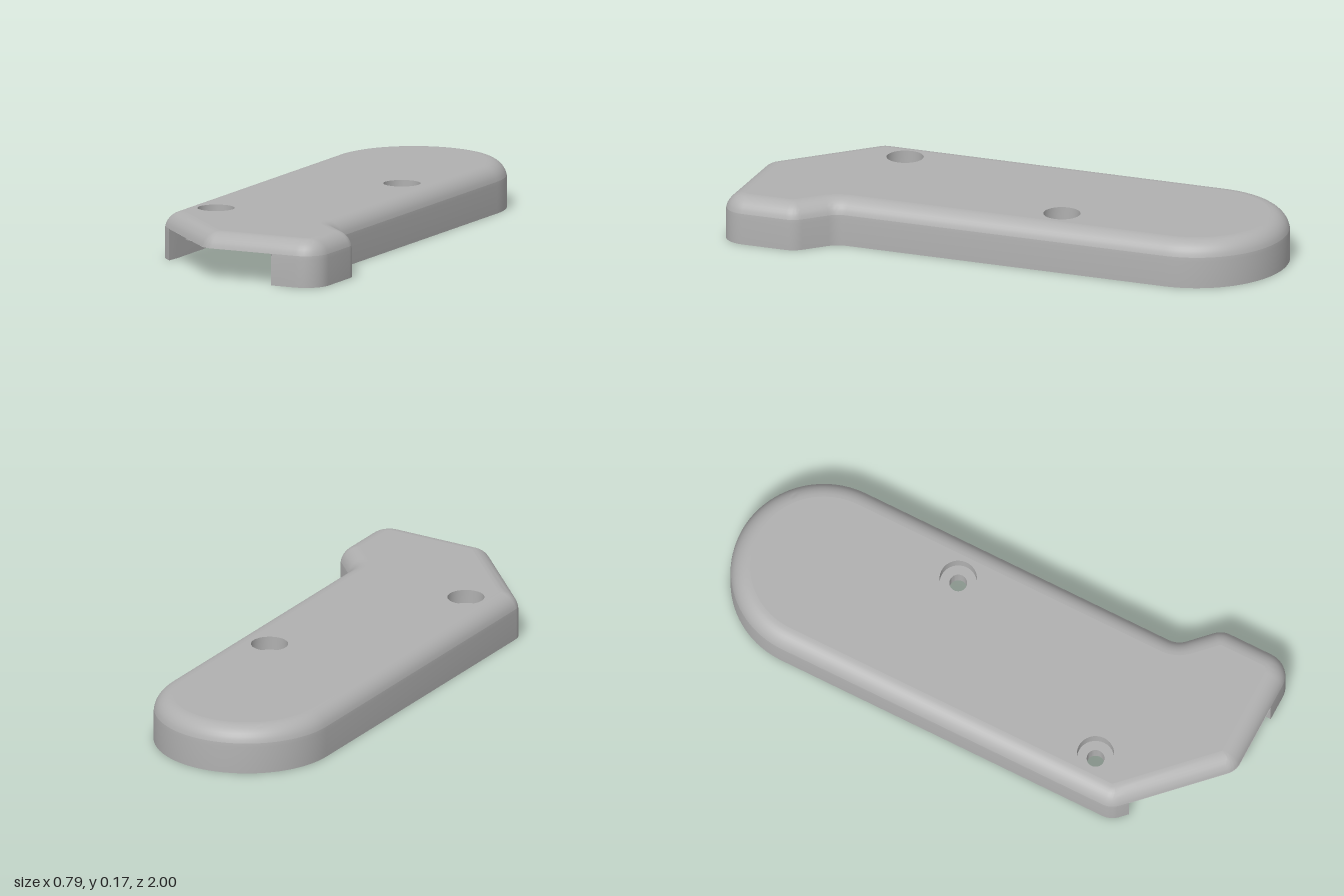
import * as THREE from 'three';
import { toCreasedNormals } from 'three/addons/utils/BufferGeometryUtils.js';

const HEIGHT = 0.17, FILLET = 0.07, CEILING = 0.115, BOSS_BOTTOM = 0.06, SEAT = 0.12;
const ROUND = 8; // segments per rounded corner

// Plan corners [x, z, radius], running from one end of the front opening round the back
const OUTER = [
  [-0.345, 0.715, 0], [-0.395, 0.665, 0.08], [-0.395, -1, 0.335], [0.275, -1, 0.335],
  [0.275, 0.59, 0.08], [0.395, 0.71, 0.08], [0.395, 1, 0.09], [0.21, 1, 0], [-0.06, 1, 0.075],
];
const INNER = [
  [-0.345, 0.715, 0], [-0.34, 0.66, 0], [-0.34, -0.945, 0.28], [0.22, -0.945, 0.28],
  [0.22, 0.6, 0], [0.21, 0.66, 0], [0.21, 1, 0], [-0.06, 1, 0.075],
];
const SCREWS = [[0.12, -0.215], [-0.25, 0.53]];

// Rounded polygon, optionally inset; always gives the same number of points
function outline(corners, inset = 0) {
  const count = corners.length, pts = [];
  corners.forEach(([x, z, r], i) => {
    const p = new THREE.Vector2(x, z);
    const prev = corners[(i + count - 1) % count], next = corners[(i + 1) % count];
    const d1 = p.clone().sub(new THREE.Vector2(prev[0], prev[1])).normalize();
    const d2 = new THREE.Vector2(next[0], next[1]).sub(p).normalize();
    const n1 = new THREE.Vector2(-d1.y, d1.x), n2 = new THREE.Vector2(-d2.y, d2.x);
    const q = p.addScaledVector(n1.clone().add(n2), inset / (1 + n1.dot(n2)));
    if (r === 0) { pts.push(q); return; }
    const cross = d1.x * d2.y - d1.y * d2.x;
    const sign = Math.sign(cross), turn = Math.atan2(cross, d1.dot(d2));
    const radius = r - sign * inset;
    const centre = q.clone()
      .addScaledVector(d1, -radius * Math.tan(Math.abs(turn) / 2))
      .addScaledVector(n1, sign * radius);
    const n = r > 0.2 ? 3 * ROUND : ROUND;
    for (let k = 0; k <= n; k++) {
      const spoke = n1.clone().multiplyScalar(-sign * radius);
      pts.push(spoke.rotateAround(new THREE.Vector2(), turn * k / n).add(centre));
    }
  });
  return pts;
}

// Surface through rows of plan points, each row { pts, y }
function loft(rows, closed) {
  const pos = [], index = [], n = rows[0].pts.length;
  for (const { pts, y } of rows) for (const p of pts) pos.push(p.x, y, p.y);
  for (let r = 0; r < rows.length - 1; r++) {
    for (let i = 0; i < (closed ? n : n - 1); i++) {
      const j = (i + 1) % n;
      const a = r * n + i, b = r * n + j, c = a + n, d = b + n;
      index.push(a, c, b, b, c, d);
    }
  }
  const g = new THREE.BufferGeometry();
  g.setAttribute('position', new THREE.Float32BufferAttribute(pos, 3));
  g.setIndex(index);
  return toCreasedNormals(g, 0.6);
}

const circle = (x, z, r) => Array.from({ length: 32 }, (_, k) => {
  const a = k / 32 * Math.PI * 2;
  return new THREE.Vector2(x + r * Math.cos(a), z + r * Math.sin(a));
});

// Horizontal face with holes: side 1 faces down, -1 faces up
function flat(pts, y, side, holes = []) {
  const turn = list => list.map(p => new THREE.Vector2(p.x, p.y * side));
  const shape = new THREE.Shape(turn(pts));
  for (const h of holes) shape.holes.push(new THREE.Path(turn(h)));
  return new THREE.ShapeGeometry(shape).rotateX(side * Math.PI / 2).translate(0, y, 0);
}

const roundedRect = (x0, x1, z0, z1, r) =>
  outline([[x0, z0, r], [x1, z0, r], [x1, z1, r], [x0, z1, r]]);

export function createModel() {
  const group = new THREE.Group();
  const grey = new THREE.MeshStandardMaterial({ color: 0xb0b0b0, side: THREE.DoubleSide });
  grey.name = 'grey plastic';
  const add = (name, geometry) => {
    const mesh = new THREE.Mesh(geometry, grey);
    mesh.name = name;
    group.add(mesh);
  };

  // Height rows of the rounded top edge
  const row = angle => ({
    pts: outline(OUTER, FILLET * (1 - Math.cos(angle))),
    y: HEIGHT - FILLET + FILLET * Math.sin(angle),
  });
  const cut = Math.asin((CEILING - HEIGHT + FILLET) / FILLET);
  const edge = Array.from({ length: 9 }, (_, k) => row(cut + (Math.PI / 2 - cut) * k / 8));
  add('roundedTopEdge', loft(edge, true));
  add('topFace', flat(edge[8].pts, HEIGHT, -1, SCREWS.map(([x, z]) => circle(x, z, 0.067))));

  // Outer wall, left open along the front
  const open = pts => pts.slice(0, -(ROUND + 1));
  const base = open(outline(OUTER));
  add('outerWall', loft([
    { pts: base, y: 0 }, { pts: base, y: HEIGHT - FILLET }, { pts: open(edge[0].pts), y: CEILING },
  ], false));

  // Inner wall, ceiling and bottom rim with the slot in the foot
  const inner = outline(INNER);
  const innerWall = open(inner).reverse();
  add('innerWall', loft([{ pts: innerWall, y: 0 }, { pts: innerWall, y: CEILING }], false));
  add('ceiling', flat(inner, CEILING, 1, SCREWS.map(([x, z]) => circle(x, z, 0.032))));
  const slot = roundedRect(0.25, 0.31, 0.72, 0.95, 0).reverse();
  add('bottomRim', flat([...base, ...innerWall.slice(1, -1)], 0, 1, [slot]));
  add('footSlotWalls', loft([{ pts: slot, y: 0 }, { pts: slot, y: 0.1 }], true));
  add('footSlotEnd', flat(slot, 0.1, 1));

  // Screw bosses under the ceiling, with countersunk seats above
  const bosses = [
    roundedRect(0.03, 0.225, -0.31, -0.12, 0.05),
    roundedRect(-0.345, -0.155, 0.435, 0.625, 0.05),
  ];
  SCREWS.forEach(([x, z], i) => {
    const hole = circle(x, z, 0.032).reverse(), seat = circle(x, z, 0.067).reverse();
    add('bossSide', loft([{ pts: bosses[i], y: BOSS_BOTTOM }, { pts: bosses[i], y: CEILING }], true));
    add('bossBottom', flat(bosses[i], BOSS_BOTTOM, 1, [hole]));
    add('screwHole', loft([{ pts: hole, y: BOSS_BOTTOM }, { pts: hole, y: SEAT }], true));
    add('screwSeat', flat(seat, SEAT, -1, [hole]));
    add('screwSeatWall', loft([{ pts: seat, y: SEAT }, { pts: seat, y: HEIGHT }], true));
  });

  // Small locating tab on the side wall
  const tab = roundedRect(-0.345, -0.285, -0.36, -0.21, 0.025);
  add('tabSide', loft([{ pts: tab, y: BOSS_BOTTOM }, { pts: tab, y: CEILING }], true));
  add('tabBottom', flat(tab, BOSS_BOTTOM, 1));

  return group;
}
